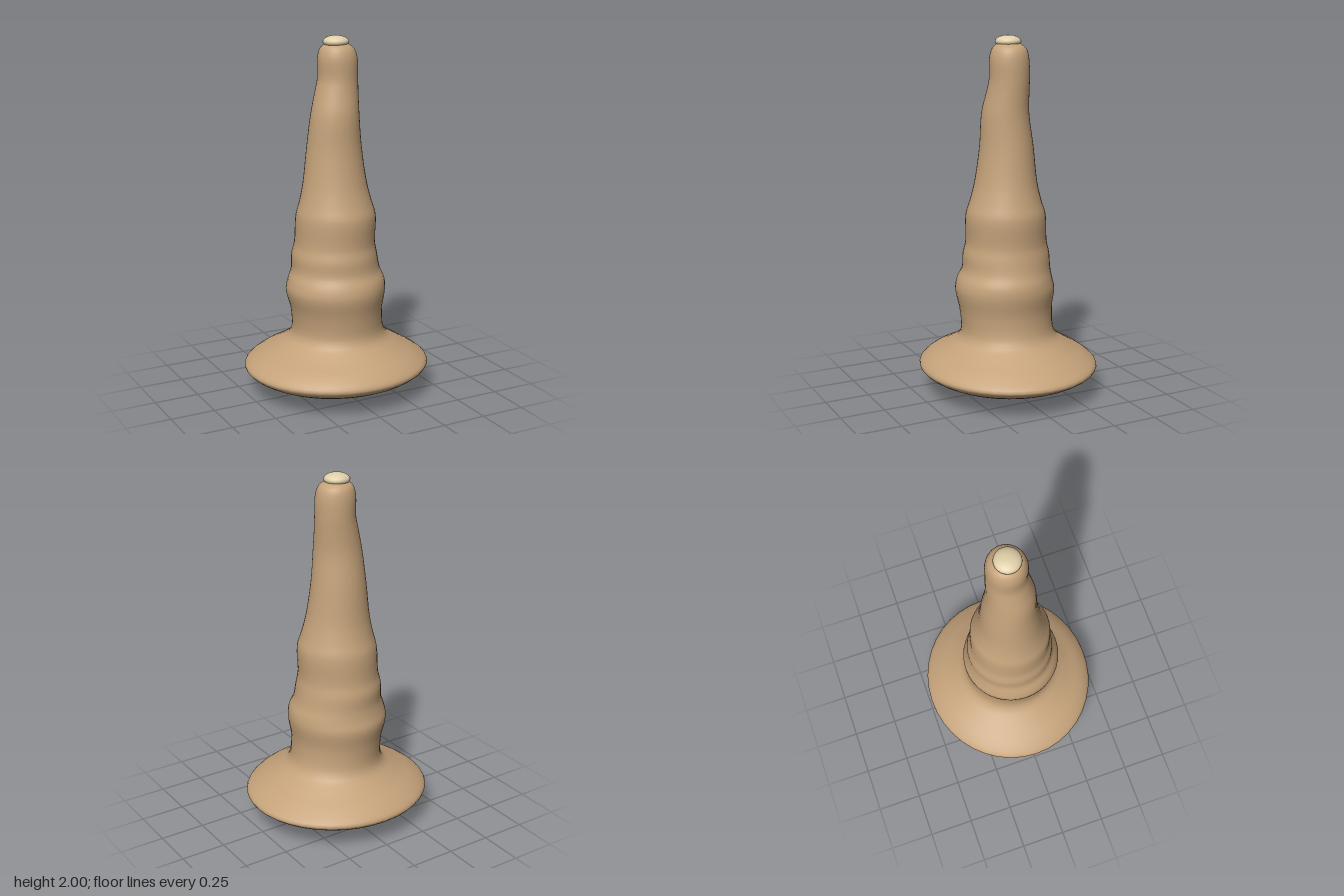
import * as THREE from 'three';

// Body cross-sections, bottom to top: height, min x, max x, min z, max z
const RINGS = [
  [0.005, 0.01, 0.04, -0.01, 0.01],
  [0.05, -0.27, 0.26, -0.25, 0.25],
  [0.12, -0.48, 0.47, -0.45, 0.45],
  [0.165, -0.525, 0.525, -0.495, 0.495],
  [0.22, -0.465, 0.46, -0.44, 0.45],
  [0.28, -0.35, 0.36, -0.34, 0.35],
  [0.35, -0.26, 0.27, -0.26, 0.27],
  [0.48, -0.26, 0.25, -0.25, 0.27],
  [0.6, -0.29, 0.265, -0.265, 0.29],
  [0.66, -0.28, 0.26, -0.25, 0.28],
  [0.72, -0.257, 0.238, -0.24, 0.252],
  [0.8, -0.253, 0.222, -0.238, 0.245],
  [0.87, -0.237, 0.21, -0.222, 0.23],
  [1.02, -0.23, 0.212, -0.212, 0.23],
  [1.1, -0.21, 0.19, -0.188, 0.205],
  [1.2, -0.19, 0.165, -0.166, 0.178],
  [1.4, -0.166, 0.137, -0.146, 0.148],
  [1.58, -0.146, 0.12, -0.121, 0.138],
  [1.7, -0.117, 0.12, -0.116, 0.115],
  [1.77, -0.1, 0.121, -0.115, 0.105],
  [1.88, -0.1, 0.117, -0.111, 0.102],
  [1.93, -0.086, 0.1, -0.097, 0.086],
  [1.955, -0.06, 0.067, -0.067, 0.06],
];

// Smooth skin through elliptical rings, closed at both ends by fans
function loft(rings, sides, steps) {
  const position = [], index = [];
  const centres = new THREE.CatmullRomCurve3(
    rings.map(([y, a, b, c, d]) => new THREE.Vector3((a + b) / 2, y, (c + d) / 2)));
  const radii = new THREE.CatmullRomCurve3(
    rings.map(([y, a, b, c, d]) => new THREE.Vector3((b - a) / 2, y, (d - c) / 2)));
  const rows = (rings.length - 1) * steps;
  for (let i = 0; i <= rows; i++) {
    const c = centres.getPoint(i / rows), r = radii.getPoint(i / rows);
    for (let j = 0; j < sides; j++) {
      const t = (j / sides) * Math.PI * 2;
      position.push(c.x + Math.sin(t) * r.x, r.y, c.z + Math.cos(t) * r.z);
      if (i === rows) continue;
      const a = i * sides + j, b = i * sides + (j + 1) % sides;
      index.push(a, b, b + sides, a, b + sides, a + sides);
    }
  }
  const top = rows * sides;
  for (let j = 1; j < sides - 1; j++) {
    index.push(0, j + 1, j, top, top + j, top + j + 1);
  }
  const geometry = new THREE.BufferGeometry();
  geometry.setAttribute('position', new THREE.Float32BufferAttribute(position, 3));
  geometry.setIndex(index);
  geometry.computeVertexNormals();
  return geometry;
}

export function createModel() {
  const group = new THREE.Group();
  const tan = new THREE.MeshStandardMaterial({ color: 0xc4a27a });
  tan.name = 'tan';
  const cream = new THREE.MeshStandardMaterial({ color: 0xdfcfa9 });
  cream.name = 'cream';

  // Flared foot and ridged, tapering column as one skin
  const body = new THREE.Mesh(loft(RINGS, 40, 4), tan);
  body.name = 'body';
  group.add(body);

  // Pale flattened bead on the tip
  const tip = new THREE.Mesh(new THREE.SphereGeometry(1, 24, 16), cream);
  tip.name = 'tip';
  tip.scale.set(0.071, 0.034, 0.071);
  tip.position.set(-0.001, 1.966, -0.003);
  group.add(tip);

  return group;
}
